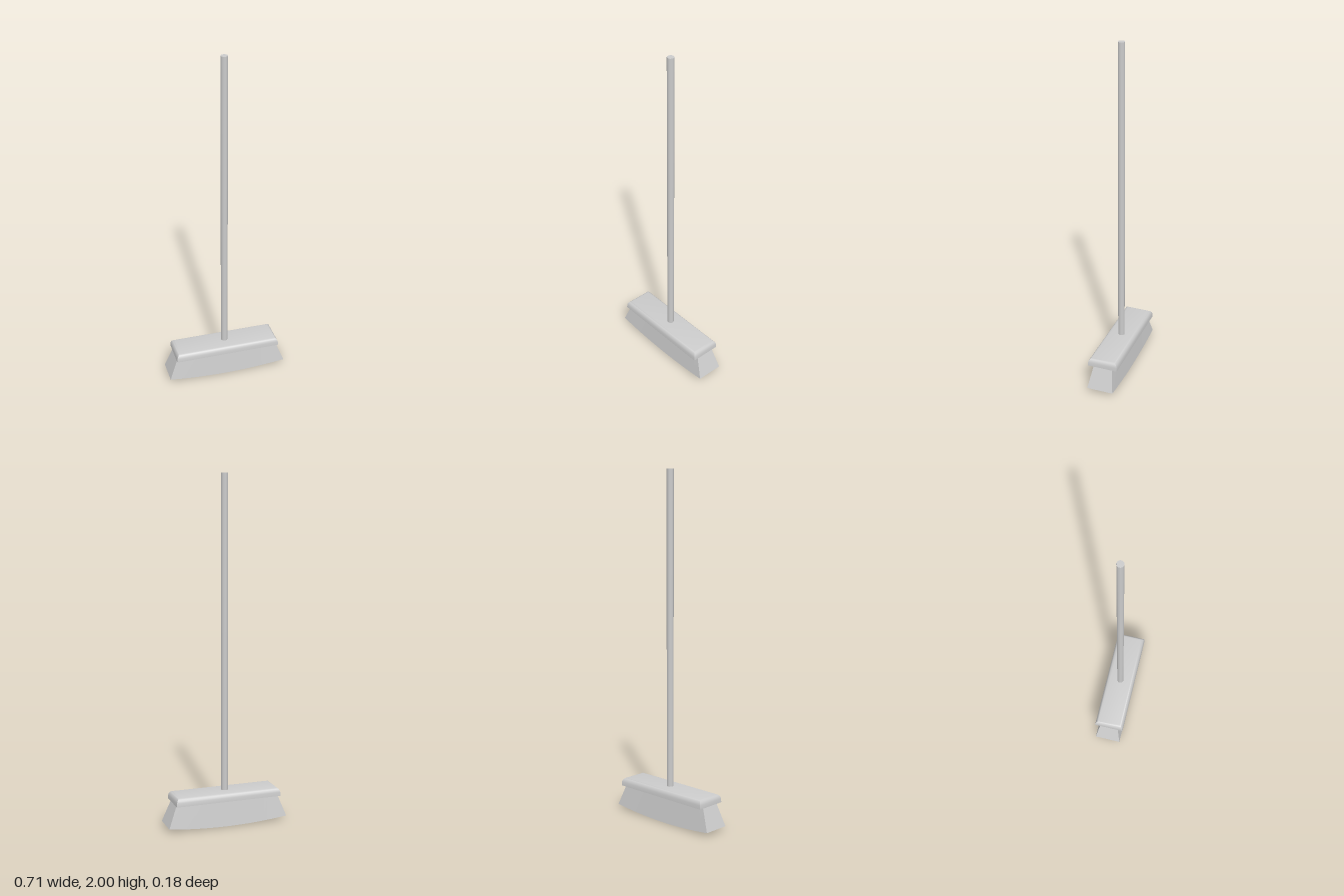
import * as THREE from 'three';
import { toCreasedNormals } from 'three/addons/utils/BufferGeometryUtils.js';

const material = new THREE.MeshStandardMaterial({ color: 0xcccccc });

// Box spanning -1..1 in x and z and 0..1 in y, with its vertices moved by a rule
function shapedBox(name, xSegments, ySegments, rule, crease) {
  const geometry = new THREE.BoxGeometry(2, 1, 2, xSegments, ySegments, 1).translate(0, 0.5, 0);
  const p = geometry.attributes.position;
  for (let i = 0; i < p.count; i++) p.setXYZ(i, ...rule(p.getX(i), p.getY(i), p.getZ(i)));
  const mesh = new THREE.Mesh(toCreasedNormals(geometry, crease), material);
  mesh.name = name;
  return mesh;
}

export function createModel() {
  const group = new THREE.Group();
  group.name = 'broom';

  // Bristles flare downward and end in a shallow curve
  group.add(shapedBox('bristles', 10, 1, (x, y, z) => [
    x * THREE.MathUtils.lerp(0.356, 0.304, y),
    THREE.MathUtils.lerp(0.022 * x * x, 0.155, y),
    z * THREE.MathUtils.lerp(0.078, 0.055, y),
  ], 0.5));

  // Head block: nearly straight sides, rounded over at the top edges
  const profile = [[0.15, 0], [0.172, 0.001], [0.182, 0.004], [0.19, 0.009], [0.195, 0.015], [0.197, 0.023]];
  group.add(shapedBox('headBlock', 1, profile.length - 1, (x, y, z) => {
    const [height, inset] = profile[Math.round(y * (profile.length - 1))];
    return [x * (0.314 - inset), height, z * (0.089 - inset)];
  }, 0.75));

  // Straight handle
  const handle = new THREE.Mesh(new THREE.CylinderGeometry(0.02, 0.02, 1.84, 10), material);
  handle.name = 'handle';
  handle.position.y = 1.08;
  group.add(handle);

  return group;
}
